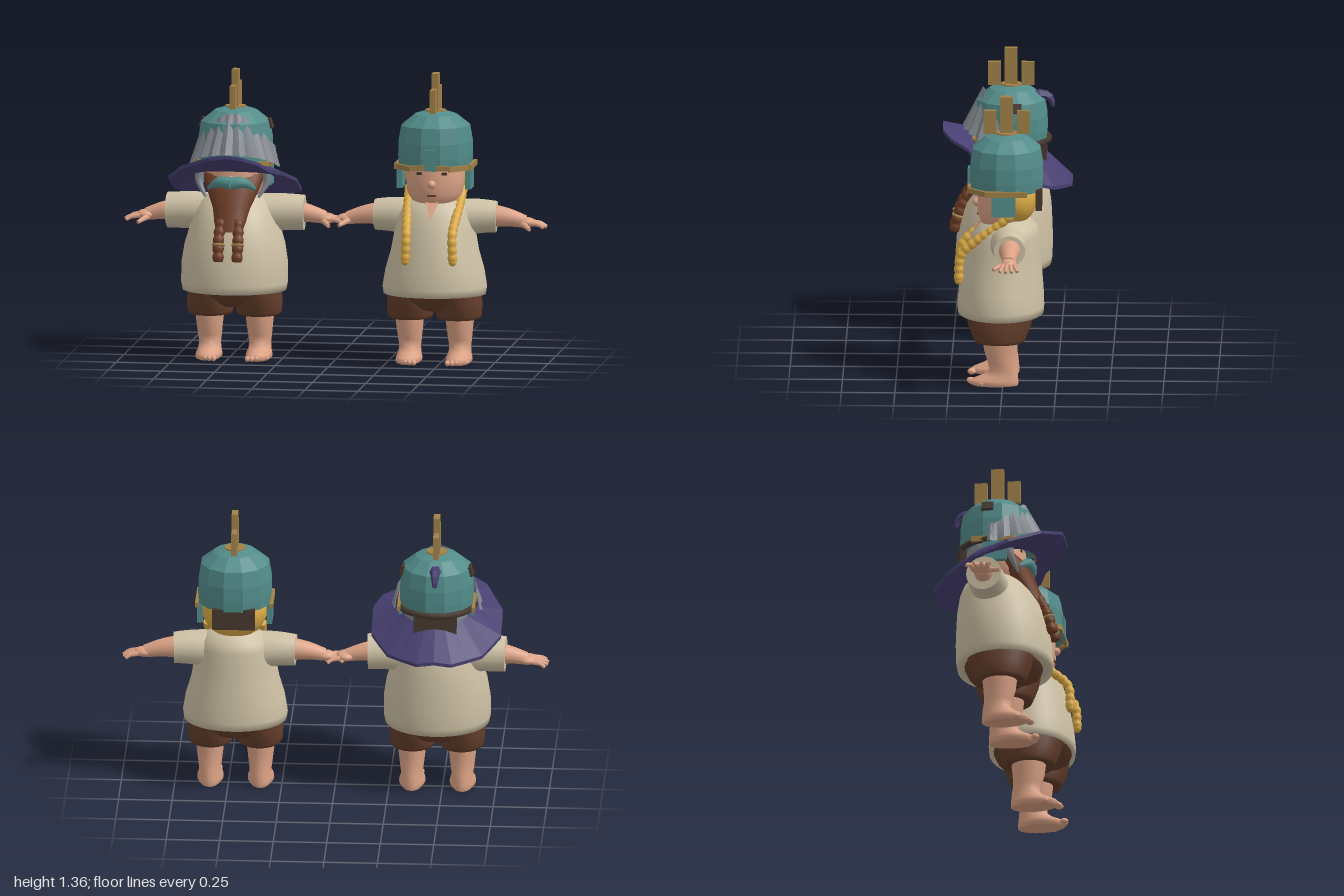
import * as THREE from 'three';

const mat = (name, color, side = THREE.FrontSide) => new THREE.MeshStandardMaterial({ name, color, side });
const skin = mat('skin', 0xdba285);
const cloth = mat('cream cloth', 0xcdc0a4);
const brown = mat('brown cloth', 0x633d2a);
const teal = mat('teal metal', 0x528c8a);
const gold = mat('dull gold', 0xa08048);
const blonde = mat('blonde hair', 0xdcab45);
const purple = mat('purple felt', 0x473f70, THREE.DoubleSide);
const grey = mat('grey cloth', 0x838990, THREE.DoubleSide);
const rust = mat('rust beard', 0x6e3d26);
const dark = mat('dark leather', 0x46382e);

function add(parent, name, geo, material, x = 0, y = 0, z = 0) {
  const m = new THREE.Mesh(geo, material);
  m.name = name;
  m.position.set(x, y, z);
  parent.add(m);
  return m;
}

// surface from a rule p(u, v); u may wrap round
function grid(nu, nv, p, closed) {
  const pos = [], idx = [], w = closed ? nu : nu + 1;
  for (let j = 0; j <= nv; j++) for (let i = 0; i < w; i++) pos.push(...p(i / nu, j));
  for (let j = 0; j < nv; j++) for (let i = 0; i < nu; i++) {
    const k = (i + 1) % w, a = j * w + i, b = j * w + k, c = b + w, d = a + w;
    idx.push(a, b, d, b, c, d);
  }
  const g = new THREE.BufferGeometry();
  g.setAttribute('position', new THREE.Float32BufferAttribute(pos, 3));
  g.setIndex(idx);
  g.computeVertexNormals();
  return g;
}

// capped stack of ellipses, each [y, rx, rz, zOffset]
function loft(sections, sides = 28) {
  const f = sections[0], l = sections[sections.length - 1];
  const rows = [[f[0], 0, 0, f[3]], f, ...sections, l, [l[0], 0, 0, l[3]]];
  return grid(sides, rows.length - 1, (u, j) => {
    const [y, rx, rz, z = 0] = rows[j], a = u * Math.PI * 2;
    return [rx * Math.cos(a), y, z - rz * Math.sin(a)];
  }, true);
}

// capped round sweep along points, radius given by r(t)
function sweep(points, r, n = 16, sides = 14) {
  const curve = new THREE.CatmullRomCurve3(points.map(p => new THREE.Vector3(...p)));
  const fr = curve.computeFrenetFrames(n);
  return grid(sides, n + 4, (u, j) => {
    const i = Math.min(Math.max(j - 2, 0), n), a = u * Math.PI * 2;
    const rad = j === 0 || j === n + 4 ? 0 : r(i / n);
    const p = curve.getPointAt(i / n);
    p.addScaledVector(fr.normals[i], rad * Math.cos(a)).addScaledVector(fr.binormals[i], rad * Math.sin(a));
    return [p.x, p.y, p.z];
  }, true);
}

const lerp = (a, b) => t => a + (b - a) * t;
const ball = (rx, ry, rz) => new THREE.SphereGeometry(1, 24, 16).scale(rx, ry, rz);
const box = (w, h, d) => new THREE.BoxGeometry(w, h, d);
const plait = (r, n) => t => r * (0.82 + 0.22 * Math.abs(Math.sin(t * Math.PI * n)));
function flat(g) {
  const f = g.toNonIndexed();
  f.computeVertexNormals();
  return f;
}

// arms, hands, legs, shorts and shirt sleeves shared by both people
function buildLimbs(g, sleeveEnd, sleeveR, handScale) {
  for (const s of [-1, 1]) {
    const side = s > 0 ? 'left' : 'right';
    add(g, side + 'Sleeve', sweep([[s * 0.08, 0.675, -0.02], [s * 0.2, 0.685, -0.03], [s * sleeveEnd, 0.683, -0.035]],
      lerp(0.092, sleeveR), 8, 22), cloth);
    add(g, side + 'Arm', sweep([[s * 0.2, 0.69, -0.035], [s * 0.33, 0.682, -0.035], [s * 0.42, 0.662, -0.035]],
      lerp(0.064, 0.03), 10), skin);
    const hand = new THREE.Group();
    hand.name = side + 'Hand';
    hand.position.set(s * 0.425, 0.66, -0.035);
    g.add(hand);
    add(hand, 'palm', ball(0.045, 0.024, 0.042 * handScale), skin);
    for (let i = 0; i < 4; i++) {
      const z = (i - 1.5) * 0.02 * handScale, tip = 0.102 - Math.abs(i - 1.6) * 0.012;
      add(hand, 'finger', sweep([[s * 0.025, -0.002, z], [s * 0.065, -0.008, z * 1.3], [s * tip, -0.02, z * 1.6]],
        lerp(0.013, 0.008), 5, 8), skin);
    }
    add(hand, 'thumb', sweep([[-s * 0.015, -0.005, 0.02], [s * 0.005, -0.015, 0.055 * handScale],
      [s * 0.025, -0.025, 0.085 * handScale]], lerp(0.016, 0.009), 5, 8), skin);

    // leg flows into the foot
    const leg = loft([[0, 0.05, 0.105, 0.035], [0.012, 0.062, 0.115, 0.042], [0.03, 0.06, 0.108, 0.036],
      [0.05, 0.053, 0.082, 0.012], [0.075, 0.051, 0.066, -0.002], [0.11, 0.056, 0.066, 0.004],
      [0.17, 0.063, 0.076, 0.012], [0.25, 0.072, 0.085, 0.012]], 20);
    add(g, side + 'Leg', leg, skin, s * 0.118);
    for (let i = 0; i < 5; i++)
      add(g, 'toe', ball(0.013, 0.014, 0.02), skin, s * (0.08 + i * 0.02), 0.014, 0.15 - i * i * 0.0035);
    add(g, side + 'ShortsLeg', loft([[0.215, 0.086, 0.1, 0.015], [0.21, 0.1, 0.115, 0.015], [0.225, 0.107, 0.122, 0.015],
      [0.28, 0.11, 0.145, 0.015], [0.35, 0.1, 0.16, 0.015]]), brown, s * 0.114);
  }
  add(g, 'shortsSeat', loft([[0.25, 0.09, 0.09, 0.01], [0.265, 0.15, 0.125, 0.01], [0.3, 0.205, 0.165, 0.012],
    [0.35, 0.222, 0.19, 0.015]]), brown);
  add(g, 'neck', new THREE.CylinderGeometry(0.075, 0.085, 0.12, 20), skin, 0, 0.77, -0.015);
}

// faceted helmet with crest, rails, cheek flaps and neck plate
function buildHelmet(g) {
  const h = new THREE.Group();
  h.name = 'helmet';
  h.position.z = -0.015;
  g.add(h);
  const profile = [[0, 0.925], [0.172, 0.92], [0.176, 0.97], [0.175, 1.04], [0.162, 1.115], [0.1, 1.165], [0.05, 1.18], [0, 1.18]];
  add(h, 'shell', flat(new THREE.LatheGeometry(profile.map(p => new THREE.Vector2(...p)), 12, Math.PI / 12)), teal);
  add(h, 'crestDisc', new THREE.CylinderGeometry(0.05, 0.05, 0.012, 12), gold, 0, 1.18, 0);
  add(h, 'crestCentre', box(0.03, 0.18, 0.06), gold, 0, 1.267, 0);
  for (const s of [-1, 1]) {
    add(h, 'crestSide', box(0.026, 0.11, 0.06), gold, 0, 1.235, s * 0.078);
    add(h, 'sideRail', box(0.016, 0.026, 0.2), gold, s * 0.174, 0.928, 0);
    add(h, 'cheekFlap', box(0.026, 0.1, 0.112), teal, s * 0.162, 0.87, 0.01);
    const rail = add(h, 'cornerRail', box(0.12, 0.024, 0.014), gold, s * 0.13, 0.928, 0.135);
    rail.rotation.y = s * 0.8;
  }
  add(h, 'frontRail', box(0.19, 0.024, 0.016), gold, 0, 0.932, 0.172);
  add(h, 'browPlate', box(0.05, 0.1, 0.012), teal, 0, 0.968, 0.175);
  add(h, 'neckPlate', box(0.2, 0.1, 0.028), dark, 0, 0.882, -0.152);
}

function buildHead(g, hair) {
  add(g, 'face', loft([[0.732, 0.03, 0.025, 0.02], [0.738, 0.07, 0.06, 0.02], [0.76, 0.105, 0.095, 0.01], [0.8, 0.13, 0.118, 0.002],
    [0.85, 0.136, 0.122, 0], [0.9, 0.135, 0.12, 0], [0.95, 0.13, 0.115, 0]]), skin);
  add(g, 'nose', ball(0.02, 0.02, 0.022), skin, 0, 0.85, 0.122);
  add(g, 'hair', ball(0.152, 0.135, 0.115), hair, 0, 0.885, -0.048);
}

function buildBeardedFigure() {
  const g = new THREE.Group();
  g.name = 'beardedFigure';
  buildLimbs(g, 0.322, 0.083, 1.15);
  buildHead(g, grey);
  buildHelmet(g);
  add(g, 'shirt', loft([[0.335, 0.225, 0.2, 0.02], [0.325, 0.243, 0.222, 0.02], [0.36, 0.25, 0.226, 0.018], [0.45, 0.25, 0.225, 0.015],
    [0.54, 0.236, 0.215, 0.008], [0.62, 0.212, 0.203, 0], [0.69, 0.193, 0.178, -0.014], [0.74, 0.172, 0.148, -0.025],
    [0.77, 0.13, 0.115, -0.025], [0.79, 0.085, 0.08, -0.02]], 36), cloth);

  // beard with two ringed plaits
  add(g, 'beard', loft([[0.62, 0.062, 0.03, 0.195], [0.66, 0.075, 0.045, 0.165], [0.72, 0.088, 0.065, 0.12], [0.79, 0.118, 0.08, 0.08],
    [0.84, 0.138, 0.08, 0.055], [0.875, 0.142, 0.06, 0.04]], 18), rust);
  for (const s of [-1, 1]) {
    add(g, 'beardPlait', sweep([[s * 0.04, 0.67, 0.18], [s * 0.046, 0.58, 0.225], [s * 0.044, 0.485, 0.25]],
      plait(0.026, 5), 30, 12), rust);
    add(g, 'beardRing', new THREE.TorusGeometry(0.024, 0.007, 8, 16).rotateX(Math.PI / 2 - 0.3), gold, s * 0.046, 0.56, 0.231);
    add(g, 'moustache', sweep([[0, 0.838, 0.142], [s * 0.055, 0.842, 0.135], [s * 0.112, 0.808, 0.105]],
      t => 0.03 - 0.024 * t * t, 10, 10), teal);
    add(g, 'sideLock', sweep([[s * 0.155, 0.9, 0.06], [s * 0.16, 0.84, 0.07], [s * 0.125, 0.77, 0.1]],
      lerp(0.026, 0.006), 8, 6), grey);
    add(g, 'eye', box(0.03, 0.012, 0.008), dark, s * 0.055, 0.905, 0.106);
    const patch = add(g, 'hatPatch', box(0.02, 0.045, 0.055), dark, s * 0.158, 1.1, -0.04);
    patch.rotation.z = s * 0.35;
  }

  // tilted faceted brim with one torn notch
  const brim = new THREE.Group();
  brim.name = 'hat';
  g.add(brim);
  const ring = (u, r, y, slope, sag) => {
    const a = u * Math.PI * 2 + Math.PI / 12, x = r * Math.cos(a), z = -r * Math.sin(a);
    return [x, y + slope * z - sag * Math.abs(Math.cos(a)), z];
  };
  const outer = u => Math.round(u * 24) === 20 ? 0.262 : (Math.round(u * 24) % 2 ? 0.303 : 0.313);
  add(brim, 'brim', flat(grid(24, 3, (u, j) => [
    () => ring(u, 0.165, 0.865, 0.2, 0),
    () => ring(u, outer(u), 0.85, 0.42, 0.04),
    () => ring(u, outer(u), 0.866, 0.42, 0.04),
    () => ring(u, 0.165, 0.905, 0.2, 0)][j](), true)), purple);
  // pleated front of the hat
  add(brim, 'pleats', flat(grid(44, 2, (u, j) => {
    const a = (u - 0.5) * 3.5, c = Math.max(Math.cos(a), 0), t = j / 2;
    const r = lerp(0.205, 0.186 - 0.07 * c)(t) + (1 - t * 0.7) * 0.009 * Math.sin(u * 44 * Math.PI / 2);
    return [r * Math.sin(a), lerp(0.9 + 0.08 * c, 1.0 + 0.165 * c)(t), r * Math.cos(a)];
  }, false)), grey);
  // band round the back and drooping hat tip
  add(brim, 'backBand', new THREE.TorusGeometry(0.178, 0.014, 6, 16, Math.PI).rotateX(-Math.PI / 2), dark, 0, 0.925, -0.015);
  add(brim, 'tip', flat(sweep([[0, 1.115, -0.11], [0, 1.132, -0.165], [0, 1.115, -0.2], [0, 1.075, -0.212]],
    t => 0.036 - 0.026 * t, 6, 6)), purple);
  return g;
}

function buildBraidedFigure() {
  const g = new THREE.Group();
  g.name = 'braidedFigure';
  buildLimbs(g, 0.285, 0.073, 0.85);
  buildHead(g, blonde);
  buildHelmet(g);
  add(g, 'shirt', loft([[0.335, 0.225, 0.18, 0.012], [0.325, 0.24, 0.2, 0.012], [0.36, 0.245, 0.203, 0.012], [0.44, 0.232, 0.198, 0.01],
    [0.53, 0.206, 0.187, 0.006], [0.62, 0.19, 0.172, 0], [0.7, 0.178, 0.158, -0.012], [0.74, 0.16, 0.138, -0.02],
    [0.77, 0.125, 0.108, -0.02], [0.785, 0.085, 0.08, -0.018]], 36), cloth);

  // open neckline
  const v = new THREE.BufferGeometry();
  v.setAttribute('position', new THREE.Float32BufferAttribute([-0.035, 0.772, 0.098, 0, 0.69, 0.156, 0.035, 0.772, 0.098], 3));
  v.computeVertexNormals();
  add(g, 'neckline', v, skin);

  for (const s of [-1, 1]) {
    add(g, 'hairBraid', sweep([[s * 0.128, 0.82, -0.04], [s * 0.122, 0.75, 0.04], [s * 0.115, 0.69, 0.125], [s * 0.108, 0.62, 0.195],
      [s * 0.112, 0.5, 0.207]], plait(0.022, 12), 60, 12), blonde);
    add(g, 'braidTip', ball(0.019, 0.022, 0.019), blonde, s * 0.112, 0.502, 0.207);
    add(g, 'eye', box(0.032, 0.012, 0.008), dark, s * 0.055, 0.9, 0.108);
  }
  add(g, 'mouth', box(0.04, 0.008, 0.008), rust, 0, 0.797, 0.118);
  return g;
}

export function createModel() {
  const model = new THREE.Group();
  model.name = 'twoFigures';
  const a = buildBeardedFigure(), b = buildBraidedFigure();
  a.position.x = -0.475;
  b.position.x = 0.468;
  model.add(a, b);
  return model;
}
